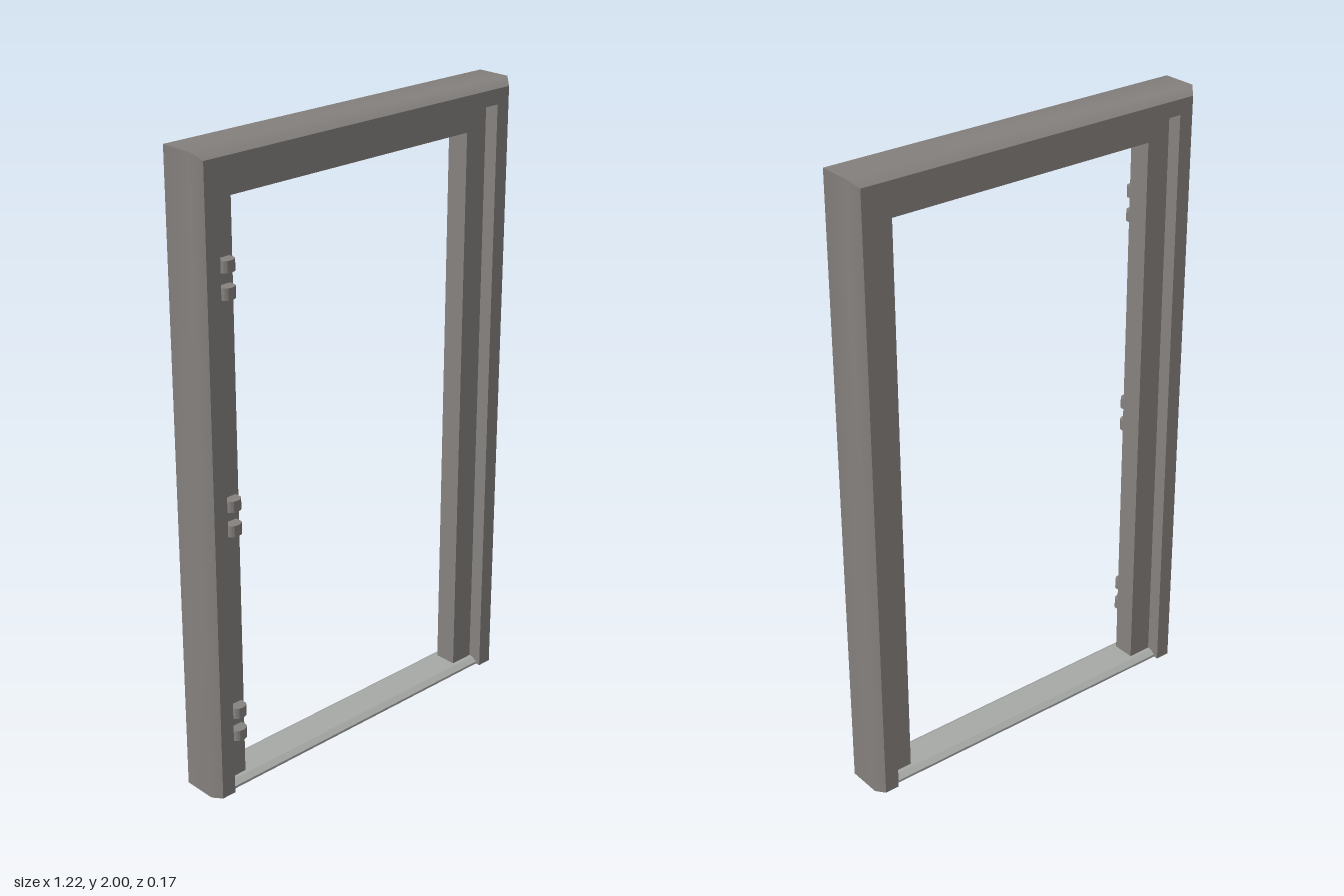
import * as THREE from 'three';
import { toCreasedNormals } from 'three/addons/utils/BufferGeometryUtils.js';

const HALF_W = 0.61, HEIGHT = 2;

// Frame cross-section: x = inset from the outer edge, y = depth (z)
const PROFILE = [
  [0, 0.055], [0, -0.055], [0.022, -0.083], [0.07, -0.083], [0.07, -0.037],
  [0.15, -0.037], [0.15, 0.037], [0.07, 0.037], [0.07, 0.083], [0.022, 0.083],
].map(([d, z]) => new THREE.Vector2(d, z));

// Sweeps the profile up one jamb, across the head and down the other, with mitred corners
function frameGeometry() {
  const n = PROFILE.length;
  const positions = [], index = [];
  for (let s = 0; s < 4; s++) {
    const side = s < 2 ? -1 : 1;
    const atTop = s === 1 || s === 2;
    for (const p of PROFILE) positions.push(side * (HALF_W - p.x), atTop ? HEIGHT - p.x : 0, p.y);
  }
  for (let s = 0; s < 3; s++) {
    for (let i = 0; i < n; i++) {
      const j = (i + 1) % n;
      const a = s * n + i, b = a + n, c = s * n + j, d = c + n;
      index.push(a, b, c, b, d, c);
    }
  }
  // Feet of both jambs
  for (const [a, b, c] of THREE.ShapeUtils.triangulateShape(PROFILE, [])) {
    index.push(a, b, c, 3 * n + a, 3 * n + c, 3 * n + b);
  }
  const geo = new THREE.BufferGeometry();
  geo.setAttribute('position', new THREE.Float32BufferAttribute(positions, 3));
  geo.setIndex(index);
  return toCreasedNormals(geo, 0.7);
}

// Shallow upside-down channel with bevelled long edges
function thresholdGeometry() {
  const shape = new THREE.Shape([
    [0.068, 0], [0.068, 0.008], [0.05, 0.02], [-0.05, 0.02], [-0.068, 0.008],
    [-0.068, 0], [-0.06, 0], [-0.06, 0.006], [-0.048, 0.013], [0.048, 0.013],
    [0.06, 0.006], [0.06, 0],
  ].map(([z, y]) => new THREE.Vector2(z, y)));
  const length = 1.08;
  const geo = new THREE.ExtrudeGeometry(shape, { depth: length, bevelEnabled: false });
  return geo.translate(0, 0, -length / 2).rotateY(Math.PI / 2);
}

// Upright knuckle with a rounded front
function knuckleGeometry() {
  const r = 0.025, h = 0.035;
  const shape = new THREE.Shape();
  shape.moveTo(-r, 0);
  shape.lineTo(r, 0);
  shape.lineTo(r, 0.02);
  shape.absellipse(0, 0.02, r, 0.018, 0, Math.PI, false, 0);
  shape.closePath();
  const geo = new THREE.ExtrudeGeometry(shape, { depth: h, bevelEnabled: false, curveSegments: 8 });
  geo.rotateX(Math.PI / 2).translate(0, h / 2, 0);
  return toCreasedNormals(geo, 0.7);
}

export function createModel() {
  const frameGrey = new THREE.MeshStandardMaterial({ color: 0x86827f });
  frameGrey.name = 'warm grey';
  const sillGrey = new THREE.MeshStandardMaterial({ color: 0xa8aaa8 });
  sillGrey.name = 'light grey';

  const model = new THREE.Group();
  model.name = 'doorFrame';
  const add = (name, geometry, material, parent = model) => {
    const mesh = new THREE.Mesh(geometry, material);
    mesh.name = name;
    parent.add(mesh);
    return mesh;
  };

  add('frame', frameGeometry(), frameGrey);
  add('threshold', thresholdGeometry(), sillGrey);

  // Three hinges, each a pair of knuckles on the stop
  const knuckle = knuckleGeometry();
  for (const y of [0.22, 0.908, 1.627]) {
    const hinge = new THREE.Group();
    hinge.name = 'hinge';
    hinge.position.set(-0.495, y, 0.036);
    model.add(hinge);
    for (const side of [-1, 1]) {
      add('hingeKnuckle', knuckle, frameGrey, hinge).position.y = side * 0.039;
    }
  }
  return model;
}
